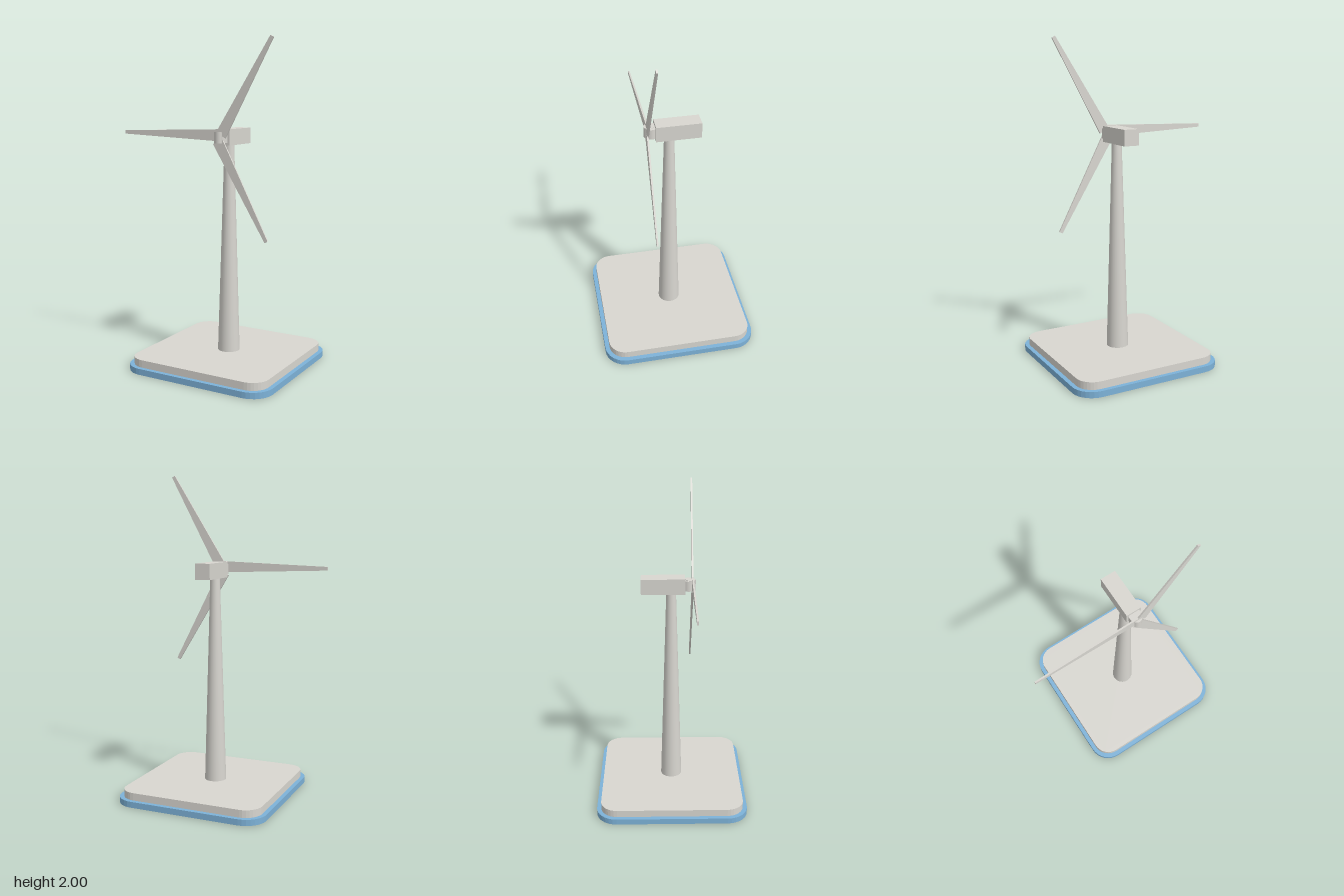
import * as THREE from 'three';

const CX = 0.1; // the turbine stands off-centre so that the rotor span is balanced

// Square slab with rounded corners, lying flat from y0 to y1
function slab(name, half, radius, y0, y1, material) {
  const s = new THREE.Shape();
  const c = half - radius;
  s.absarc(c, c, radius, 0, Math.PI / 2);
  s.absarc(-c, c, radius, Math.PI / 2, Math.PI);
  s.absarc(-c, -c, radius, Math.PI, Math.PI * 1.5);
  s.absarc(c, -c, radius, Math.PI * 1.5, Math.PI * 2);
  const geo = new THREE.ExtrudeGeometry(s, { depth: y1 - y0, bevelEnabled: false, curveSegments: 4 });
  geo.rotateX(-Math.PI / 2);
  const mesh = new THREE.Mesh(geo, material);
  mesh.name = name;
  mesh.position.set(CX, y0, 0);
  return mesh;
}

// Thin tapered blade running from its root to its tip
function blade(name, root, tip, material) {
  const dx = tip[0] - root[0], dy = tip[1] - root[1];
  const length = Math.hypot(dx, dy);
  const s = new THREE.Shape();
  s.moveTo(0, -0.035);
  s.lineTo(length, -0.011);
  s.lineTo(length, 0.011);
  s.lineTo(0, 0.035);
  s.closePath();
  const geo = new THREE.ExtrudeGeometry(s, { depth: 0.01, bevelEnabled: false });
  const mesh = new THREE.Mesh(geo, material);
  mesh.name = name;
  mesh.position.set(root[0], root[1], 0.126);
  mesh.rotation.z = Math.atan2(dy, dx);
  return mesh;
}

export function createModel() {
  const grey = new THREE.MeshStandardMaterial({ color: 0xd8d6d0 });
  grey.name = 'warm grey';
  const blue = new THREE.MeshStandardMaterial({ color: 0x7db2d8 });
  blue.name = 'blue';

  const model = new THREE.Group();
  model.name = 'windTurbine';
  const add = (name, geo, x, y, z) => {
    const mesh = new THREE.Mesh(geo, grey);
    mesh.name = name;
    mesh.position.set(x, y, z);
    model.add(mesh);
  };

  // Stepped base
  model.add(slab('baseRim', 0.48, 0.13, 0, 0.037, blue));
  model.add(slab('basePlate', 0.453, 0.105, 0.037, 0.083, grey));

  // Tapered tower and the box housing on top
  add('tower', new THREE.CylinderGeometry(0.03, 0.068, 1.287, 24), CX, 0.7265, 0);
  add('nacelle', new THREE.BoxGeometry(0.097, 0.097, 0.27), CX, 1.417, -0.05);

  // Hub: upright cylinder with a slimmer nose in front
  add('hub', new THREE.CylinderGeometry(0.04, 0.04, 0.064, 20), CX, 1.417, 0.106);
  add('hubNose', new THREE.CylinderGeometry(0.031, 0.031, 0.068, 20), CX - 0.002, 1.417, 0.119);

  // Rotor
  const rotor = new THREE.Group();
  rotor.name = 'rotor';
  rotor.add(
    blade('bladeSide', [0.1, 1.431], [-0.58, 1.434], grey),
    blade('bladeUpper', [0.117, 1.432], [0.446, 1.995], grey),
    blade('bladeLower', [0.095, 1.395], [0.421, 0.82], grey)
  );
  model.add(rotor);
  return model;
}
